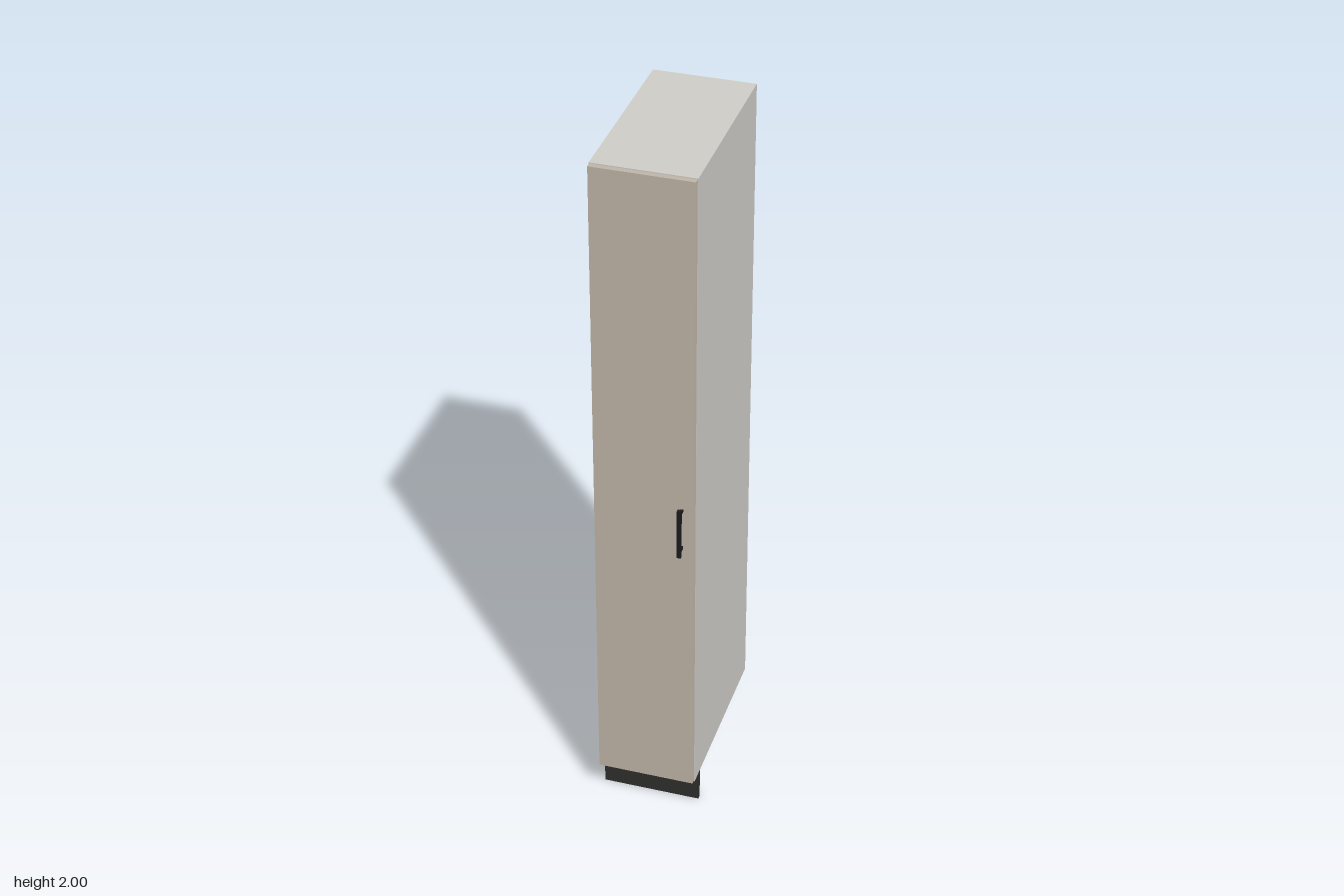
import * as THREE from 'three';

const carcassMat = new THREE.MeshStandardMaterial({ color: 0xcfcdc8 });
const doorMat = new THREE.MeshStandardMaterial({ color: 0xc0b6a8 });
const plinthMat = new THREE.MeshStandardMaterial({ color: 0x2e2e2c });
const handleMat = new THREE.MeshStandardMaterial({ color: 0x1c1c1e });

// Box given by its extents on each axis
function panel(name, [x0, x1], [y0, y1], [z0, z1], material) {
  const mesh = new THREE.Mesh(new THREE.BoxGeometry(x1 - x0, y1 - y0, z1 - z0), material);
  mesh.position.set((x0 + x1) / 2, (y0 + y1) / 2, (z0 + z1) / 2);
  mesh.name = name;
  return mesh;
}

export function createModel() {
  const model = new THREE.Group();
  model.name = 'tallCabinet';

  const half = 0.1375, bottom = 0.096, top = 2, back = -0.282, front = 0.234;
  const t = 0.014; // board thickness
  const inner = [-half + t, half - t];
  const depth = [back, front];

  // Carcass: two sides, top, bottom and a slightly recessed back
  const carcass = new THREE.Group();
  carcass.name = 'carcass';
  carcass.add(
    panel('leftSide', [half - t, half], [bottom, top], depth, carcassMat),
    panel('rightSide', [-half, -half + t], [bottom, top], depth, carcassMat),
    panel('topPanel', inner, [top - t, top], depth, carcassMat),
    panel('bottomPanel', inner, [bottom, bottom + t], depth, carcassMat),
    panel('backPanel', inner, [bottom + t, top - t], [back + 0.006, back + 0.012], carcassMat)
  );
  model.add(carcass);

  // Door, a hair smaller than the carcass
  model.add(panel('door', [-half + 0.0015, half - 0.0015], [0.101, 1.998], [front + 0.001, 0.25], doorMat));

  // Set-back plinth
  model.add(panel('plinth', [-half, half], [0, bottom], [0.183, 0.197], plinthMat));

  // Bar handle on two posts
  const handle = new THREE.Group();
  handle.name = 'handle';
  handle.add(panel('handleBar', [0.098, 0.109], [0.898, 1.047], [0.27, 0.28], handleMat));
  for (const y of [0.913, 1.031]) {
    handle.add(panel('handlePost', [0.1, 0.107], [y - 0.0035, y + 0.0035], [0.25, 0.27], handleMat));
  }
  model.add(handle);

  return model;
}
